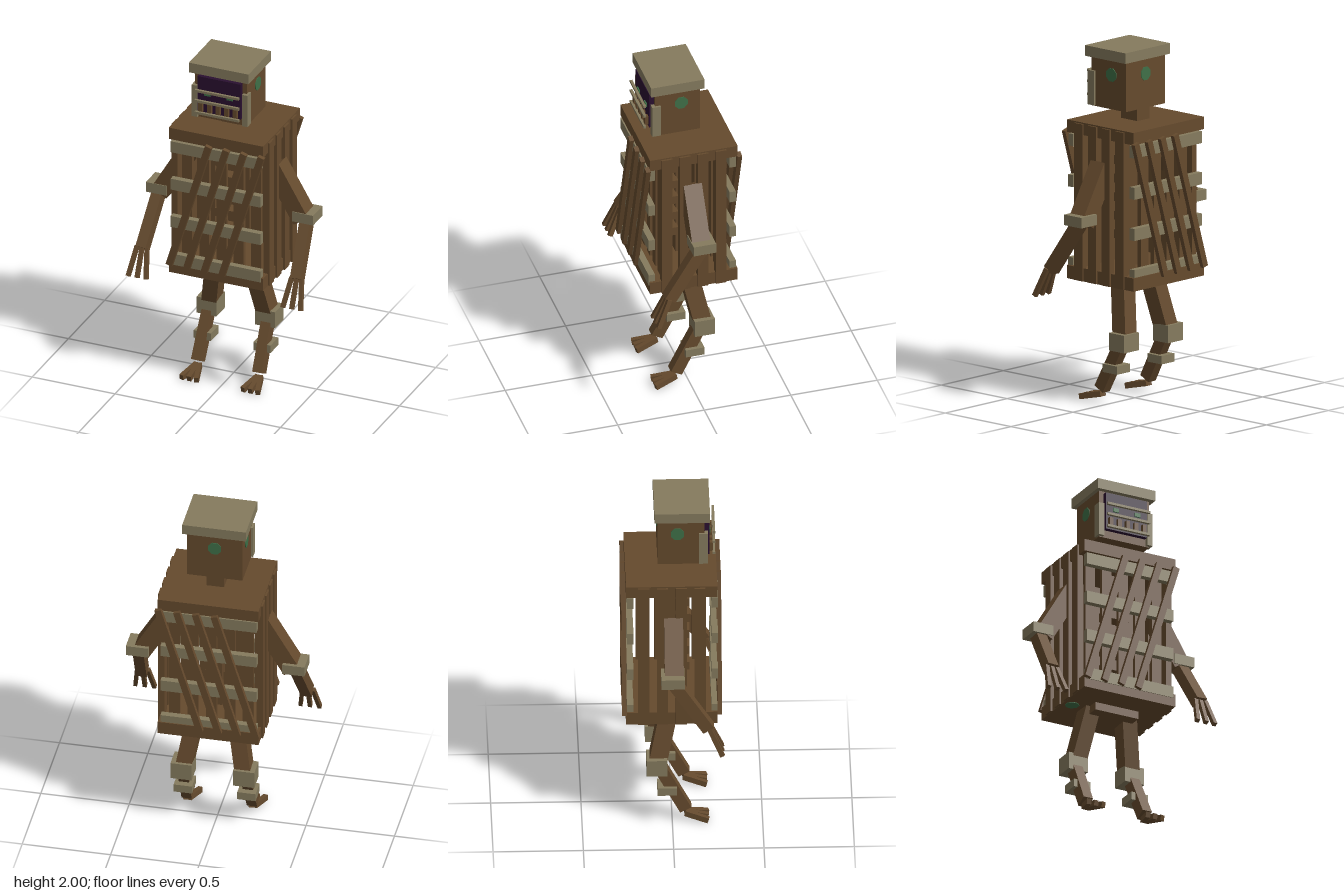
import * as THREE from 'three';

const mat = (name, color) => {
  const m = new THREE.MeshStandardMaterial({ color });
  m.name = name;
  return m;
};

export function createModel() {
  const wood = mat('wood', 0x654a2d);
  const pale = mat('pale wood', 0x857b5e);
  const dark = mat('dark purple', 0x2a1030);
  const green = mat('green', 0x3f7048);

  const model = new THREE.Group();
  model.name = 'crateFigure';

  const group = (name) => {
    const g = new THREE.Group();
    g.name = name;
    model.add(g);
    return g;
  };
  const put = (parent, name, geo, material) => {
    const m = new THREE.Mesh(geo, material);
    m.name = name;
    parent.add(m);
    return m;
  };
  // Box given by its lower and upper bounds
  const block = (parent, name, material, x0, x1, y0, y1, z0, z1) => {
    const m = put(parent, name, new THREE.BoxGeometry(x1 - x0, y1 - y0, z1 - z0), material);
    m.position.set((x0 + x1) / 2, (y0 + y1) / 2, (z0 + z1) / 2);
    return m;
  };
  // Square-cut beam running from a to b
  const beam = (parent, name, material, a, b, w, d) => {
    const A = new THREE.Vector3(...a), B = new THREE.Vector3(...b);
    const dir = B.clone().sub(A);
    const len = dir.length();
    dir.normalize();
    const x = new THREE.Vector3(1, 0, 0).addScaledVector(dir, -dir.x).normalize();
    const z = new THREE.Vector3().crossVectors(x, dir);
    const m = put(parent, name, new THREE.BoxGeometry(w, len, d), material);
    m.quaternion.setFromRotationMatrix(new THREE.Matrix4().makeBasis(x, dir, z));
    m.position.copy(A).add(B).multiplyScalar(0.5);
    return m;
  };

  // Head with cap, neck and green knots
  const head = group('head');
  block(head, 'skull', wood, -0.157, 0.157, 1.66, 1.95, -0.08, 0.18);
  block(head, 'cap', pale, -0.18, 0.18, 1.94, 2, -0.098, 0.21);
  block(head, 'neck', wood, -0.05, 0.05, 1.58, 1.67, -0.065, 0.06);
  const knot = (parent, x, y, z, rx, rz) => {
    const k = put(parent, 'knot', new THREE.CylinderGeometry(0.04, 0.04, 0.006, 8), green);
    k.geometry.rotateY(Math.PI / 8);
    k.position.set(x, y, z);
    k.rotation.set(rx, 0, rz);
  };
  for (const s of [-1, 1]) knot(head, s * 0.158, 1.855, 0.03, 0, Math.PI / 2);
  knot(head, 0, 1.855, -0.081, Math.PI / 2, 0);

  // Face: dark opening, cheeks, eyes, bars and teeth
  const face = group('face');
  block(face, 'faceOpening', dark, -0.13, 0.13, 1.705, 1.925, 0.175, 0.207);
  for (const s of [-1, 1]) {
    block(face, 'cheek', pale, s * 0.152 - 0.017, s * 0.152 + 0.017, 1.665, 1.86, 0.15, 0.2);
    block(face, 'eye', green, s * 0.068 - 0.018, s * 0.068 + 0.018, 1.815, 1.838, 0.205, 0.214);
  }
  for (const y of [1.848, 1.785, 1.712])
    block(face, 'faceBar', pale, -0.133, 0.133, y - 0.007, y + 0.007, 0.225, 0.24);
  for (let i = -2; i <= 2; i++)
    block(face, 'tooth', wood, i * 0.052 - 0.012, i * 0.052 + 0.012, 1.715, 1.77, 0.205, 0.228);

  // Crate body
  const body = group('crateBody');
  block(body, 'topBoard', wood, -0.285, 0.285, 1.52, 1.59, -0.258, 0.248);
  block(body, 'bottomBoard', wood, -0.285, 0.285, 0.69, 0.765, -0.258, 0.248);
  knot(body, -0.23, 0.689, 0, 0, 0);
  for (const s of [-1, 1]) {
    // Side slats
    for (let i = 0; i < 4; i++) {
      const z = -0.16 + i * 0.104;
      block(body, 'sideSlat', wood, s * 0.278 - 0.018, s * 0.278 + 0.018, 0.692, 1.582, z - 0.031, z + 0.031);
    }
    // Upright bars behind the bands
    for (let i = -2; i <= 2; i++)
      block(body, 'innerBar', wood, i * 0.104 - 0.03, i * 0.104 + 0.03, 0.74, 1.54, s * 0.16 - 0.012, s * 0.16 + 0.012);
    // Pale cross bands
    for (let i = 0; i < 4; i++) {
      const y = 0.775 + i * 0.2335;
      block(body, 'crossBand', pale, -0.273, 0.271, y - 0.034, y + 0.034, s * 0.234 - 0.018, s * 0.234 + 0.018);
    }
    // Slanted slats
    for (let i = 0; i < 4; i++) {
      const x = -0.156 + i * 0.106, z = s * 0.264 - 0.003;
      beam(body, 'slantedSlat', wood, [x - 0.119, 0.745, z], [x + 0.119, 1.53, z], 0.038, 0.026);
    }
  }
  // Spine and ribs inside the crate
  block(body, 'spine', wood, -0.03, 0.03, 0.74, 1.54, -0.025, 0.025);
  for (let i = 0; i < 5; i++) {
    const y = 0.932 + i * 0.105;
    block(body, 'rib', wood, -0.072, 0.072, y - 0.025, y + 0.025, 0.02, 0.1);
  }
  block(body, 'hipBoard', wood, -0.135, 0.135, 0.645, 0.7, -0.105, 0.095);

  for (const s of [-1, 1]) {
    // Arm
    const arm = group(s > 0 ? 'leftArm' : 'rightArm');
    beam(arm, 'upperArm', wood, [s * 0.25, 1.365, 0.005], [s * 0.43, 1.06, 0.005], 0.105, 0.105);
    block(arm, 'elbowBand', pale, s * 0.442 - 0.063, s * 0.442 + 0.063, 1.055, 1.115, -0.068, 0.062);
    beam(arm, 'forearm', wood, [s * 0.443, 1.08, -0.01], [s * 0.467, 0.775, 0.195], 0.062, 0.07);
    for (const f of [-1, 0, 1])
      beam(arm, 'finger', wood, [s * 0.467 + f * 0.03, 0.785, 0.2], [s * 0.467 + f * 0.054, 0.625, 0.27], 0.022, 0.026);

    // Leg
    const leg = group(s > 0 ? 'leftLeg' : 'rightLeg');
    beam(leg, 'thigh', wood, [s * 0.113, 0.7, -0.015], [s * 0.172, 0.36, -0.085], 0.09, 0.1);
    block(leg, 'kneeBand', pale, s * 0.177 - 0.06, s * 0.177 + 0.06, 0.314, 0.414, -0.142, -0.026);
    beam(leg, 'shin', wood, [s * 0.178, 0.36, -0.075], [s * 0.185, 0.075, 0.075], 0.058, 0.07);
    block(leg, 'ankleBand', pale, s * 0.18 - 0.052, s * 0.18 + 0.052, 0.183, 0.23, -0.082, 0.026);
    for (const f of [-1, 0, 1])
      beam(leg, 'toe', wood, [s * 0.185 + f * 0.01, 0.047, 0.072], [s * 0.185 + f * 0.045, 0.019, 0.2], 0.026, 0.032);
  }
  return model;
}
